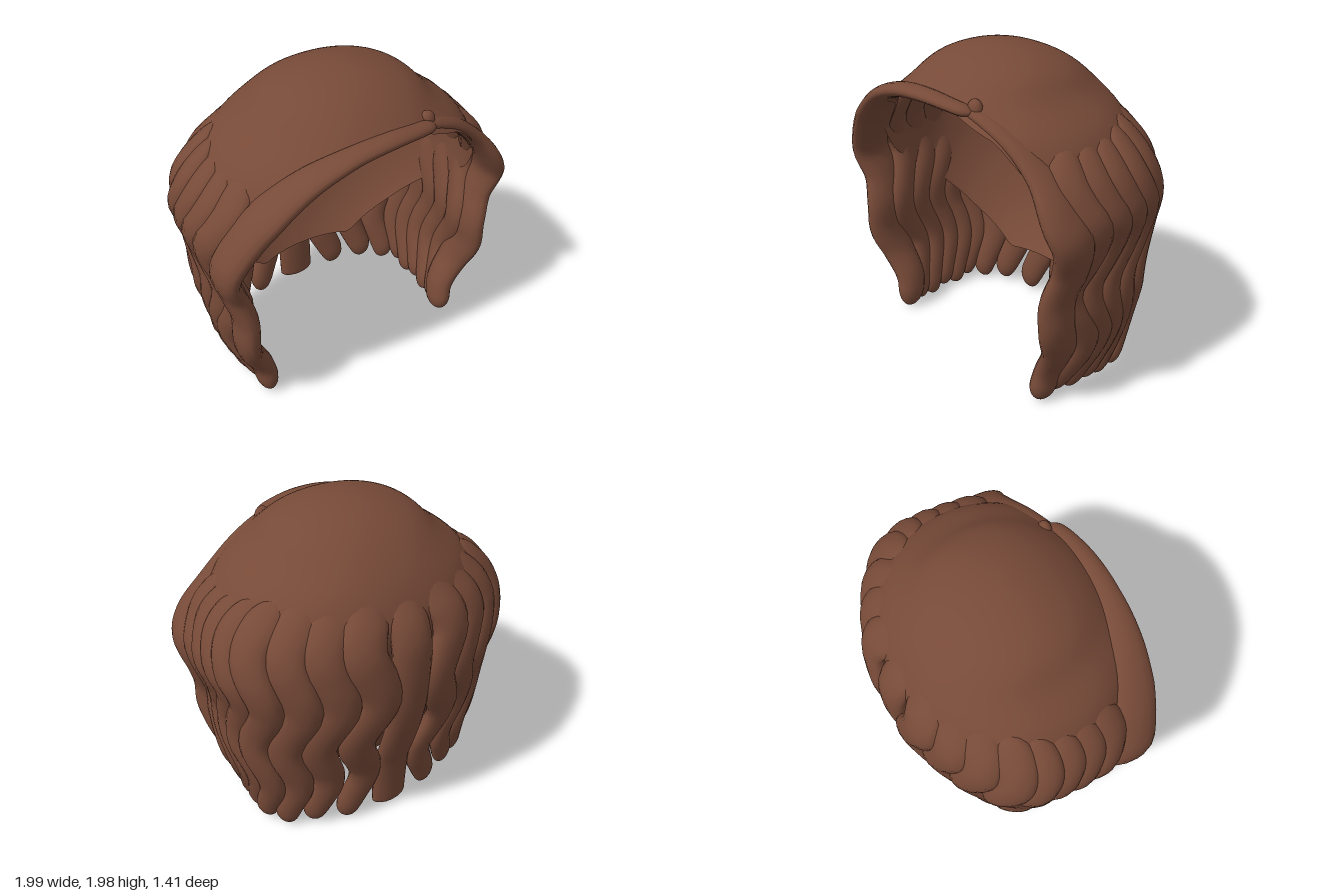
import * as THREE from 'three';

const hair = new THREE.MeshStandardMaterial({ color: 0x774a38, side: THREE.DoubleSide });
hair.name = 'brown hair';

// Linear lookup in rows of [key, value, ...], keys ascending
function lookup(rows, k, col = 1) {
  if (k <= rows[0][0]) return rows[0][col];
  for (let i = 1; i < rows.length; i++) {
    const a = rows[i - 1], b = rows[i];
    if (k <= b[0]) return a[col] + (b[col] - a[col]) * (k - a[0]) / (b[0] - a[0]);
  }
  return rows[rows.length - 1][col];
}

// Joins rows of points into a surface, each row a closed ring
function ringSurface(rows, flip) {
  const n = rows[0].length, idx = [];
  for (let i = 0; i < rows.length - 1; i++) {
    for (let j = 0; j < n; j++) {
      const k = (j + 1) % n;
      const a = i * n + j, b = i * n + k, c = a + n, d = b + n;
      if (flip) idx.push(a, c, b, b, c, d);
      else idx.push(a, b, c, b, d, c);
    }
  }
  const g = new THREE.BufferGeometry().setFromPoints(rows.flat());
  g.setIndex(idx);
  g.computeVertexNormals();
  return g;
}

// Sweeps an oval along a path; size(t) gives [half width, half thickness]
function lock(points, wide, size, name, steps = 56) {
  const curve = new THREE.CatmullRomCurve3(points), rows = [];
  for (let i = 0; i <= steps; i++) {
    const t = (1 - Math.cos(Math.PI * i / steps)) / 2;
    const p = curve.getPointAt(t), tan = curve.getTangentAt(t);
    const A = wide.clone().addScaledVector(tan, -wide.dot(tan)).normalize();
    const B = tan.clone().cross(A);
    const [w, d] = size(t), row = [];
    for (let j = 0; j < 16; j++) {
      const a = j / 16 * Math.PI * 2;
      row.push(p.clone().addScaledVector(A, w * Math.cos(a)).addScaledVector(B, d * Math.sin(a)));
    }
    rows.push(row);
  }
  const m = new THREE.Mesh(ringSurface(rows, false), hair);
  m.name = name;
  return m;
}

// Rounded closing at both ends of a lock
function ends(t, start, end) {
  const a = Math.min(1, t / start), b = Math.min(1, (1 - t) / end);
  return Math.sqrt(1 - (1 - a) ** 2) * Math.sqrt(1 - (1 - b) ** 2);
}

// Height of the cap's lower edge by angle from the front, in degrees
const edge = [[0, 1.76], [20, 1.74], [43, 1.63], [59, 1.42], [72, 1.15], [90, 0.95],
  [120, 0.62], [144, 0.4], [180, 0.4]];

// Domed cap that draws in slightly beneath the hanging locks
function cap() {
  const rows = [], N = 96, M = 40;
  const pw = (v) => Math.sign(v) * Math.abs(v) ** (2 / 2.15);
  for (let i = 0; i <= M; i++) {
    const row = [];
    for (let j = 0; j < N; j++) {
      const th = (j / N) * 2 * Math.PI - Math.PI;
      const yE = lookup(edge, Math.abs(th) * 180 / Math.PI);
      const y = 2 - (2 - yE) * (i / M) ** 1.7;
      const k = (y - 1.2) / (y > 1.2 ? 0.8 : 1.05);
      const f = Math.sqrt(Math.max(0, 1 - k * k));
      const under = 1 - THREE.MathUtils.smoothstep(y, 1.2, 1.55);
      const flat = 0.09 * Math.exp(-(((y - 1.79) / 0.11) ** 2)); // flatter shoulders
      const c = Math.cos(th);
      row.push(new THREE.Vector3((0.875 - 0.03 * under - flat) * f * pw(Math.sin(th)), y,
        0.1 + f * pw(c) * (c > 0 ? 0.75 : 0.75 - 0.095 * under)));
    }
    rows.push(row);
  }
  const m = new THREE.Mesh(ringSurface(rows, true), hair);
  m.name = 'cap';
  return m;
}

// Spread of the hanging locks by height: [y, x scale, z scale]
const spread = [[0.02, 0.75, 0.74], [0.3, 0.85, 0.76], [0.45, 0.89, 0.79], [0.6, 0.91, 0.86],
  [0.8, 0.9, 0.94], [1, 0.94, 0.99], [1.2, 1, 1], [1.36, 0.95, 0.99], [1.48, 0.865, 0.935],
  [1.6, 0.755, 0.81], [1.7, 0.68, 0.72]];

// A wavy lock hanging from anchor (x, z); splay keeps its tip further out sideways
function hangingLock({ x, z, top, bottom, halfWidth, wave, splay, taper, tip, name }) {
  const out = new THREE.Vector3(x / 0.92 ** 2, 0, (z - 0.1) / 0.73 ** 2).normalize();
  const side = x < 0 ? -1 : 1;
  const along = new THREE.Vector3(-out.z * side, 0, out.x * side); // towards the front
  const pts = [], n = 16;
  for (let i = 0; i <= n; i++) {
    const y = top + (bottom - top) * i / n;
    const s = wave * Math.cos(2 * Math.PI * (y - 0.75) / 0.69);
    const sx = lookup(spread, y, 1) + splay * Math.max(0, 1 - y / 1.2);
    pts.push(new THREE.Vector3(x * sx, y, 0.1 + (z - 0.1) * lookup(spread, y, 2))
      .addScaledVector(along, s));
  }
  return lock(pts, along, (t) => [
    halfWidth * ends(t, 0.12, tip) * (1 - taper * t * t),
    0.08 * ends(t, 0.25, tip) * (1 - 0.3 * t),
  ], name);
}

export function createModel() {
  const wig = new THREE.Group();
  wig.name = 'wig';
  wig.add(cap());

  // Hanging locks round the back and sides, rooted under the cap
  const locks = new THREE.Group();
  locks.name = 'hangingLocks';
  locks.add(hangingLock({ x: 0, z: -0.625, top: 1.68, bottom: 0.03, halfWidth: 0.128, wave: 0,
    splay: 0, taper: 0.05, tip: 0.025, name: 'centreBackLock' }));
  // [x, z, top, half width, splay]
  const anchors = [[0.26, -0.61, 1.68, 0.135, 0.17], [0.48, -0.53, 1.67, 0.13, 0.18], [0.67, -0.435, 1.66, 0.125, 0.14],
    [0.84, -0.3, 1.64, 0.12, 0.06], [0.91, -0.16, 1.62, 0.105, 0], [0.925, -0.02, 1.6, 0.105, 0],
    [0.925, 0.13, 1.6, 0.105, 0], [0.91, 0.29, 1.6, 0.11, 0]];
  for (const s of [1, -1]) {
    anchors.forEach(([x, z, top, halfWidth, splay], i) => {
      locks.add(hangingLock({ x: s * x, z, top, bottom: 0.02 + 0.02 * (i % 2), halfWidth, wave: 0.056,
        splay, taper: i < 4 ? 0.4 : 0.25, tip: 0.07, name: i < 4 ? 'backLock' : 'sideLock' }));
    });
  }
  wig.add(locks);

  // Front locks: lip over the forehead that runs down each side of the face
  const V = (a) => new THREE.Vector3(...a);
  const wide = new THREE.Vector3(0, 0, -1);
  const right = [[0.32, 1.745, 0.575], [0.2, 1.765, 0.61], [0, 1.78, 0.635], [-0.25, 1.755, 0.63], [-0.5, 1.66, 0.59],
    [-0.72, 1.48, 0.53], [-0.86, 1.3, 0.49], [-0.925, 1.15, 0.46], [-0.88, 0.97, 0.42], [-0.83, 0.78, 0.45],
    [-0.83, 0.6, 0.45], [-0.79, 0.42, 0.39], [-0.7, 0.22, 0.36], [-0.67, 0.02, 0.4]];
  const left = [[0.22, 1.765, 0.56], [0.38, 1.71, 0.53], [0.55, 1.62, 0.49], [0.74, 1.46, 0.45],
    [0.87, 1.29, 0.45], [0.925, 1.15, 0.41], [0.88, 0.97, 0.38], [0.83, 0.78, 0.42],
    [0.83, 0.6, 0.42], [0.79, 0.42, 0.36], [0.7, 0.22, 0.35], [0.67, 0.02, 0.4]];
  const widths = [[0, 0.05], [0.2, 0.075], [0.4, 0.14], [0.8, 0.12], [1, 0.09]];
  const depths = [[0, 0.03], [0.25, 0.045], [0.45, 0.07], [1, 0.07]];
  const size = (t) => {
    const e = ends(t, 0.03, 0.05);
    return [lookup(widths, t) * e, lookup(depths, t) * e];
  };
  wig.add(lock(right.map(V), wide, size, 'rightFrontLock', 90));
  wig.add(lock(left.map(V), wide, size, 'leftFrontLock', 90));

  // Small curl where the two front locks part
  const curl = new THREE.Mesh(new THREE.SphereGeometry(0.05, 20, 14), hair);
  curl.name = 'partingCurl';
  curl.scale.set(1, 1.2, 0.8);
  curl.position.set(0.3, 1.755, 0.54);
  wig.add(curl);
  return wig;
}
